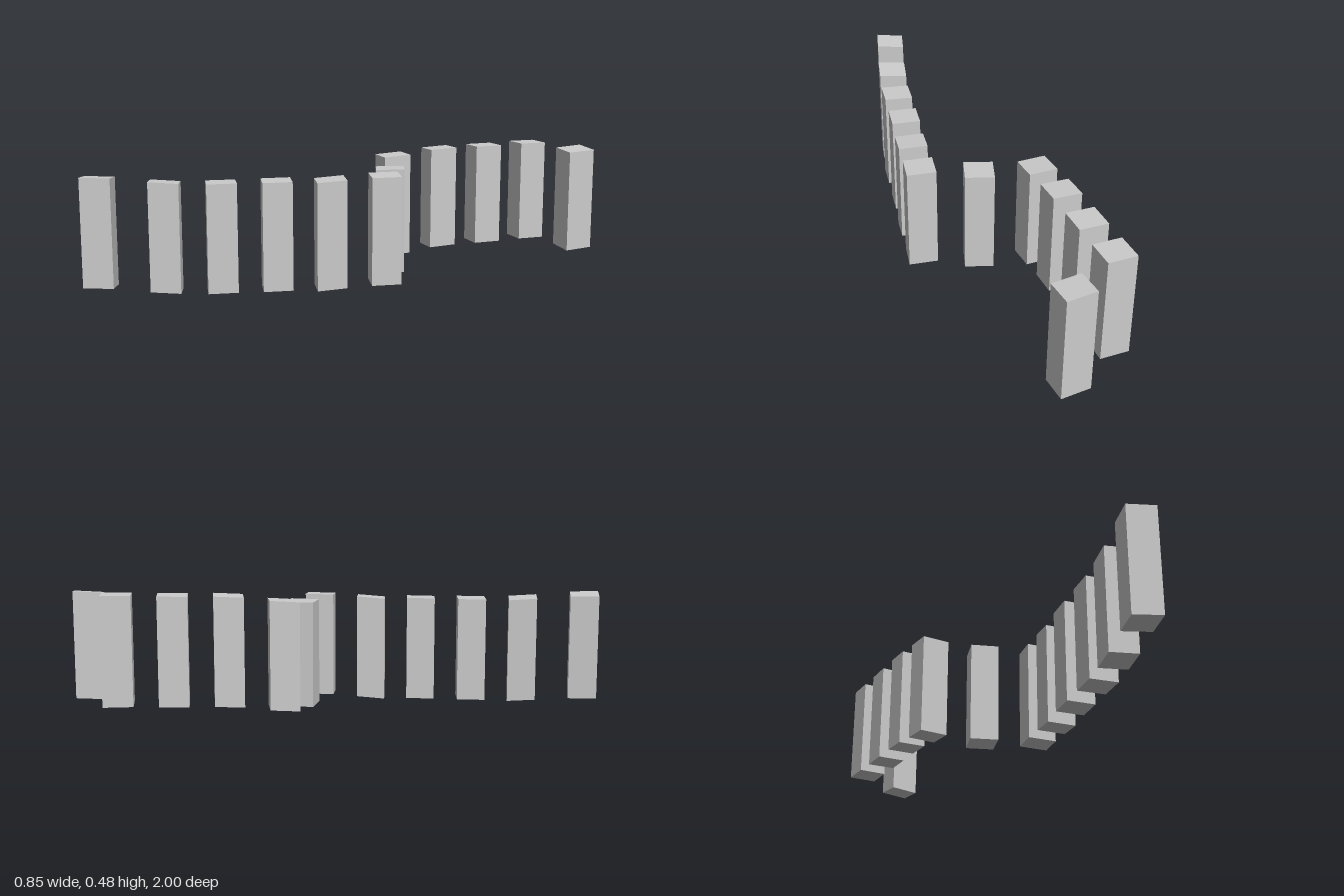
import * as THREE from 'three';

const SIDE = 0.113;
const HEIGHT = 0.415;

// One entry per post: x, z, turn in degrees, height of the top centre, slope along x, slope along z
const POSTS = [
  [0.35, -0.931, 18, 0.472, -0.05, -0.085],
  [0.115, -0.89, 19, 0.482, 0.01, 0],
  [0.045, -0.695, 20, 0.477, 0.02, -0.01],
  [-0.025, -0.5, 20, 0.473, 0.04, -0.04],
  [-0.095, -0.305, 19, 0.452, 0.02, -0.06],
  [0.065, -0.155, 38, 0.427, 0.02, 0],
  [0.225, 0.004, 31, 0.433, -0.02, -0.04],
  [0.12, 0.185, 30, 0.421, 0.02, -0.08],
  [0.015, 0.36, 30, 0.421, 0, -0.02],
  [-0.088, 0.54, 29, 0.419, 0.02, 0],
  [-0.202, 0.715, 34, 0.423, 0.012, 0.09],
  [-0.347, 0.915, 36, 0.441, 0.055, 0.076],
];

// Upright square post whose top and foot are sheared to follow the ground
function makePost(turn, slopeX, slopeZ) {
  const geometry = new THREE.BoxGeometry(SIDE, HEIGHT, SIDE);
  geometry.rotateY(-THREE.MathUtils.degToRad(turn));
  const p = geometry.attributes.position;
  for (let i = 0; i < p.count; i++) {
    p.setY(i, p.getY(i) + slopeX * p.getX(i) + slopeZ * p.getZ(i));
  }
  geometry.computeVertexNormals();
  return geometry;
}

export function createModel() {
  const group = new THREE.Group();
  group.name = 'postRow';
  const material = new THREE.MeshStandardMaterial({ color: 0xcccccc, flatShading: true });

  // Winding row of free-standing posts
  POSTS.forEach(([x, z, turn, top, slopeX, slopeZ], i) => {
    const post = new THREE.Mesh(makePost(turn, slopeX, slopeZ), material);
    post.name = `post${i + 1}`;
    post.position.set(x, top - HEIGHT / 2, z);
    group.add(post);
  });
  return group;
}
